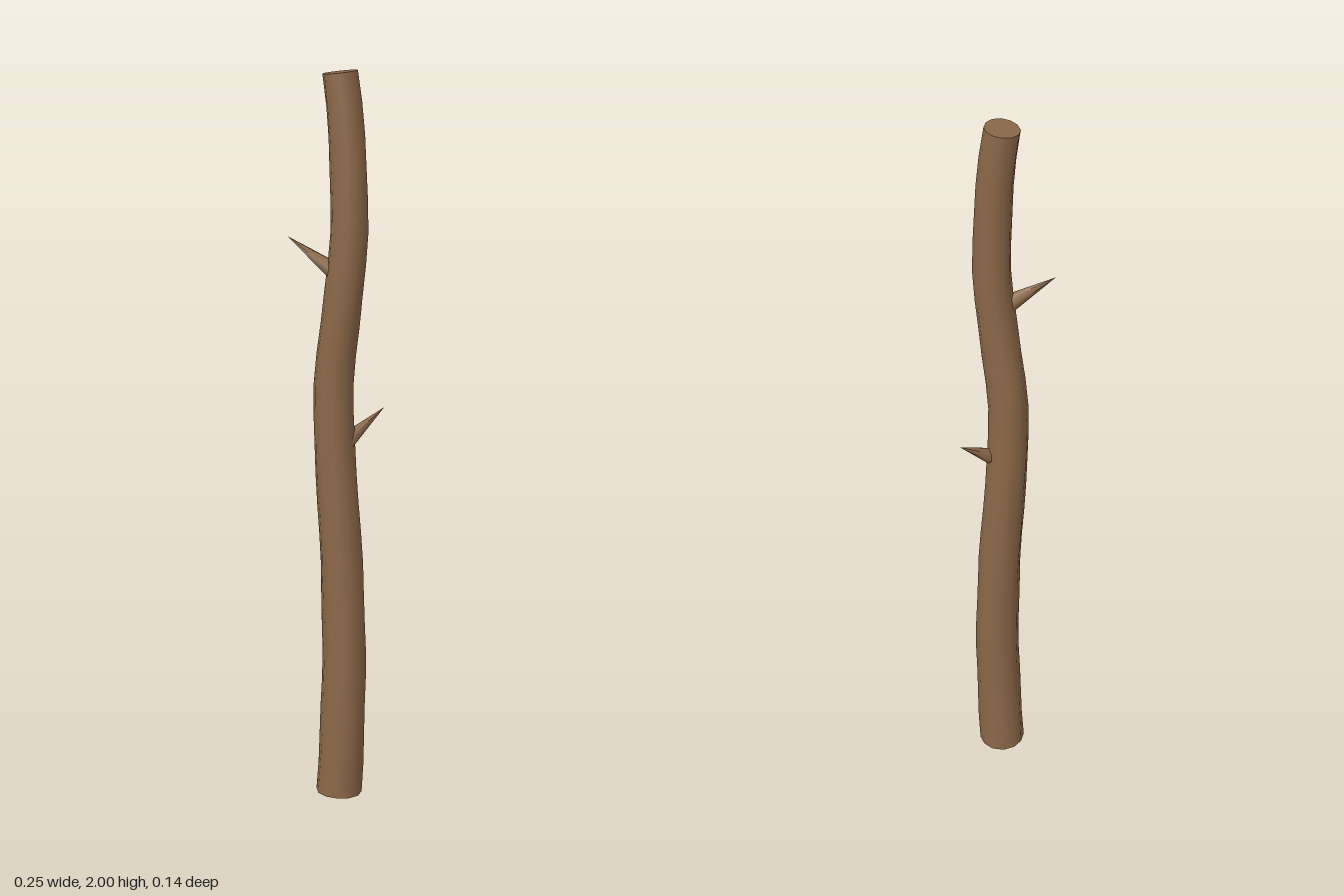
import * as THREE from 'three';

const UP = new THREE.Vector3(0, 1, 0);

// Centre line of the stick, from the ground to the top
const spine = new THREE.CatmullRomCurve3([
  [0.010, 0.004, 0.008], [0.019, 0.2, 0.008], [0.023, 0.4, 0.006], [0.019, 0.6, 0.003],
  [0.009, 0.8, -0.003], [-0.004, 1.0, -0.008], [-0.004, 1.2, -0.008], [0.019, 1.4, 0.0],
  [0.034, 1.55, 0.002], [0.034, 1.7, -0.001], [0.027, 1.85, -0.008], [0.010, 1.997, -0.018],
].map(p => new THREE.Vector3(...p)));

// Bend a capped cylinder along the spine, tapering with slight bark bumps
function bentTrunk() {
  const geo = new THREE.CylinderGeometry(1, 1, 1, 12, 24);
  const pos = geo.attributes.position, nor = geo.attributes.normal;
  const v = new THREE.Vector3(), n = new THREE.Vector3(), q = new THREE.Quaternion();
  for (let i = 0; i < pos.count; i++) {
    v.fromBufferAttribute(pos, i);
    n.fromBufferAttribute(nor, i);
    const t = v.y + 0.5;
    const angle = Math.atan2(v.z, v.x);
    const bump = 1 + 0.02 * Math.sin(3 * angle + 41 * t);
    const r = (0.063 - 0.017 * t) * bump;
    q.setFromUnitVectors(UP, spine.getTangentAt(t));
    v.set(v.x * r, 0, v.z * r).applyQuaternion(q).add(spine.getPointAt(t));
    n.applyQuaternion(q);
    pos.setXYZ(i, v.x, v.y, v.z);
    nor.setXYZ(i, n.x, n.y, n.z);
  }
  return geo;
}

// Pointed twig stub running from base to tip
function twig(name, base, tip, radius, material) {
  const a = new THREE.Vector3(...base);
  const axis = new THREE.Vector3(...tip).sub(a);
  const length = axis.length();
  const geo = new THREE.ConeGeometry(radius, length, 6).translate(0, length / 2, 0);
  const mesh = new THREE.Mesh(geo, material);
  mesh.name = name;
  mesh.position.copy(a);
  mesh.quaternion.setFromUnitVectors(UP, axis.normalize());
  return mesh;
}

export function createModel() {
  const group = new THREE.Group();
  group.name = 'stick';
  const bark = new THREE.MeshStandardMaterial({ color: 0x8b6848 });
  bark.name = 'bark brown';

  const trunk = new THREE.Mesh(bentTrunk(), bark);
  trunk.name = 'trunk';
  group.add(
    trunk,
    twig('lowerTwig', [0.03, 1.012, -0.01], [0.125, 1.09, -0.073], 0.026, bark),
    twig('upperTwig', [-0.005, 1.48, 0.003], [-0.127, 1.566, -0.014], 0.025, bark),
  );
  return group;
}
